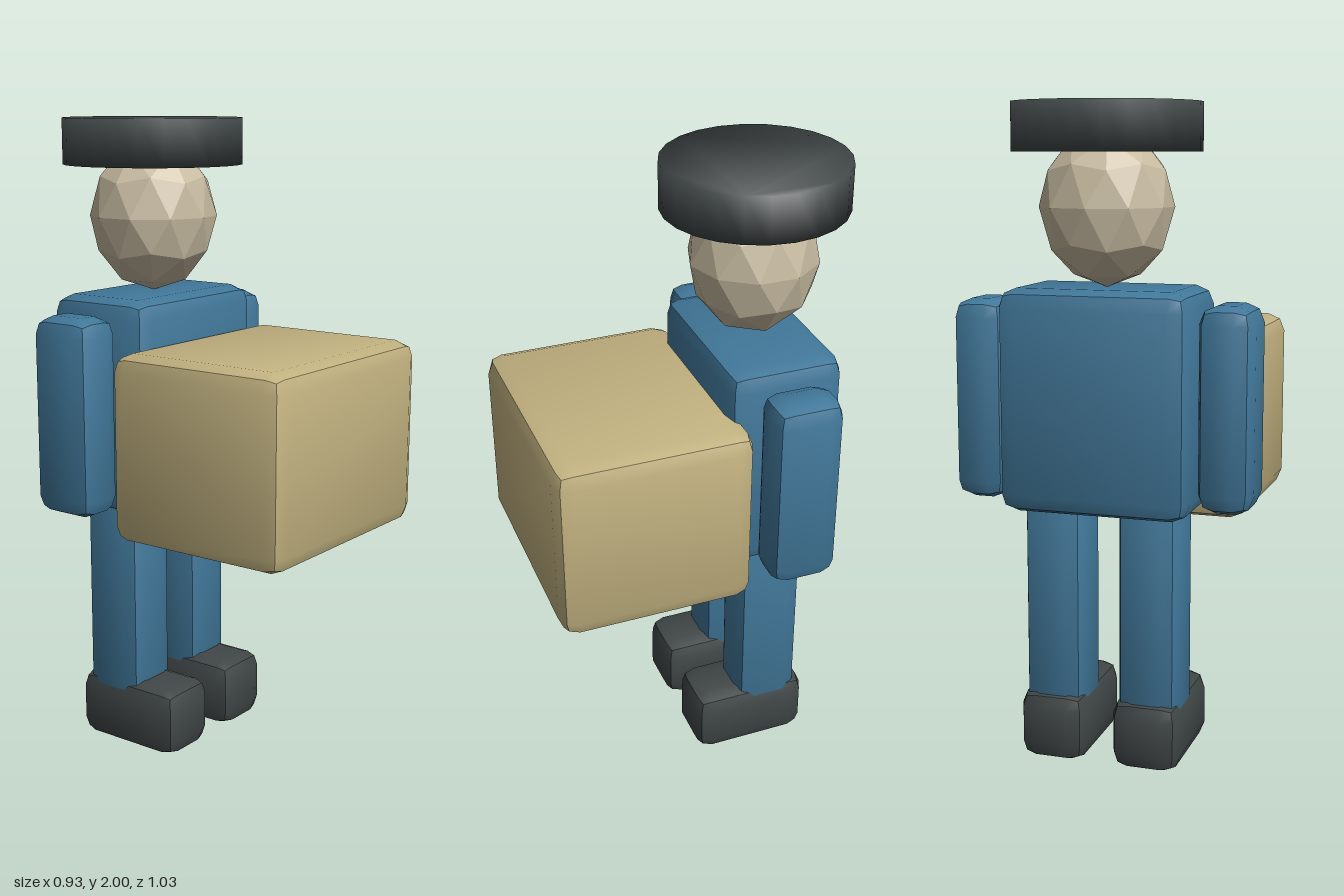
import * as THREE from 'three';
import { mergeVertices, toCreasedNormals } from 'three/addons/utils/BufferGeometryUtils.js';
import { RoundedBoxGeometry } from 'three/addons/geometries/RoundedBoxGeometry.js';

const material = (name, color) => {
  const m = new THREE.MeshStandardMaterial({ color });
  m.name = name;
  return m;
};

// Box with two-step bevelled edges, given by its [min, max] along each axis
function bevelBox(name, mat, [x0, x1], [y0, y1], [z0, z1], bevel = 0.055) {
  const box = new RoundedBoxGeometry(x1 - x0, y1 - y0, z1 - z0, 1, bevel);
  const mesh = new THREE.Mesh(toCreasedNormals(box, 0.6), mat);
  mesh.name = name;
  mesh.position.set((x0 + x1) / 2, (y0 + y1) / 2, (z0 + z1) / 2);
  return mesh;
}

// Flat round cap whose shading runs softly over its rim
function capGeometry(radius, height, sides) {
  const outline = [];
  for (let i = 0; i < sides; i++) {
    const a = (i / sides) * Math.PI * 2;
    outline.push(new THREE.Vector2(Math.cos(a) * radius, Math.sin(a) * radius));
  }
  const disc = new THREE.ExtrudeGeometry(new THREE.Shape(outline), { depth: height, bevelEnabled: false });
  disc.rotateX(-Math.PI / 2).translate(0, -height / 2, 0);
  disc.deleteAttribute('normal');
  disc.deleteAttribute('uv');
  disc.clearGroups();
  const cap = mergeVertices(disc);
  cap.computeVertexNormals();
  const p = cap.attributes.position;
  const n = new THREE.Vector3();
  for (let i = 0; i < p.count; i++) {
    n.set(p.getX(i) / radius, Math.sign(p.getY(i)), p.getZ(i) / radius).normalize();
    cap.attributes.normal.setXYZ(i, n.x, n.y, n.z);
  }
  return cap;
}

export function createModel() {
  const blue = material('blue uniform', 0x41789a);
  const sand = material('cardboard', 0xc2b280);
  const dark = material('dark leather', 0x404646);
  const skin = material('skin', 0xc8bca2);
  skin.flatShading = true;

  const model = new THREE.Group();
  model.name = 'courier';

  // Body and carried parcel
  model.add(bevelBox('torso', blue, [-0.293, 0.293], [0.797, 1.467], [-0.417, -0.052]));
  model.add(bevelBox('parcel', sand, [-0.392, 0.392], [0.743, 1.326], [-0.1, 0.512]));

  // Limbs, mirrored left and right
  for (const [side, s] of [['left', 1], ['right', -1]]) {
    const span = (a, b) => (s > 0 ? [a, b] : [-b, -a]);
    model.add(bevelBox(side + 'Arm', blue, span(0.297, 0.465), [0.815, 1.426], [-0.345, -0.126]));
    model.add(bevelBox(side + 'Leg', blue, span(0.052, 0.246), [0.13, 0.87], [-0.338, -0.122]));
    model.add(bevelBox(side + 'Shoe', dark, span(0.04, 0.256), [0, 0.224], [-0.364, 0.025]));
  }

  // Faceted head, standing on a vertex
  const headShape = new THREE.IcosahedronGeometry(1, 1);
  headShape.rotateX(-Math.atan2((1 + Math.sqrt(5)) / 2, 1)).rotateY(-Math.PI / 2);
  headShape.scale(0.2, 0.235, 0.2);
  const head = new THREE.Mesh(headShape, skin);
  head.name = 'head';
  head.position.set(0, 1.7, -0.235);
  model.add(head);

  // Cap
  const cap = new THREE.Mesh(capGeometry(0.281, 0.142, 24), dark);
  cap.name = 'cap';
  cap.position.set(0, 1.929, -0.235);
  model.add(cap);

  return model;
}
